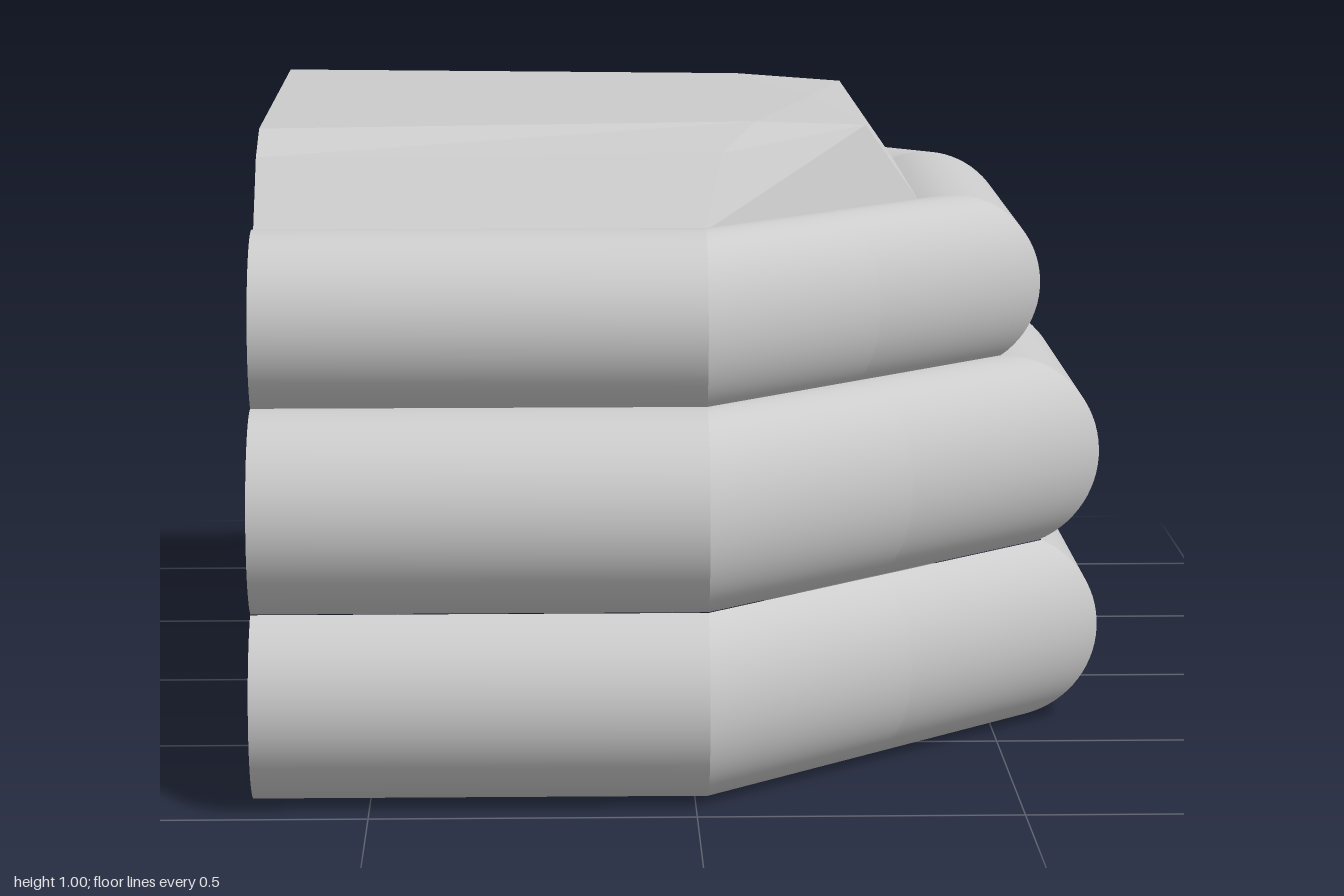
import * as THREE from 'three';

const material = new THREE.MeshStandardMaterial({ color: 0xcccccc });
const BACK = -0.68, CORNER_X = 0.02, CORNER_Z = 0.32, STEPS = 32;

function addMesh(parent, geometry, name) {
  const mesh = new THREE.Mesh(geometry, material);
  mesh.name = name;
  parent.add(mesh);
  return mesh;
}

// Arc in a vertical plane; 0 degrees points along (dx, dz), 90 degrees is up.
// A foot (in radii) squares off the inner bottom quarter out to that distance.
function arcPoints([start, end], x, y, z, dx, dz, r, foot) {
  const points = [];
  for (let i = 0; i <= STEPS; i++) {
    const degrees = start + ((end - start) * i) / STEPS;
    const a = THREE.MathUtils.degToRad(degrees);
    let c = Math.cos(a), s = Math.sin(a);
    if (foot && degrees > 180 && degrees < 270) {
      const t = (degrees - 180) / 45;
      c = t < 1 ? -1 + (1 - foot) * t : -foot * (2 - t);
      s = t < 1 ? -0.95 * t : -0.95 - 0.05 * (t - 1);
    }
    points.push(x + dx * c * r, y + s * r, z + dz * c * r);
  }
  return points;
}

// Smooth skin between two arcs
function skin(from, to) {
  const index = [], n = STEPS + 1;
  for (let i = 0; i < STEPS; i++) {
    index.push(i, n + i, i + 1, i + 1, n + i, n + i + 1);
  }
  const geometry = new THREE.BufferGeometry();
  geometry.setAttribute('position', new THREE.Float32BufferAttribute([...from, ...to], 3));
  geometry.setIndex(index);
  geometry.computeVertexNormals();
  return geometry;
}

// Horseshoe tube: two straight arms, two slanted corners and a cross piece.
// Only the given arcs are skinned, so neighbouring tubes merge into one wall.
function horseshoe(name, y, r, outerX, outerZ, arcs, armFoot = 0, crossFoot = 0) {
  const group = new THREE.Group();
  group.name = name;
  const x = outerX - r, z = outerZ - r;
  for (const arc of arcs) {
    const ring = (px, pz, dx, dz, foot) => arcPoints(arc, px, y, pz, dx, dz, r, foot);
    // round section halfway along a slanted corner
    const middle = (side) => {
      const across = ring(x, side * CORNER_Z, 1, 0, 0);
      return ring(CORNER_X, side * z, 0, side, 0).map((v, i) => (v + across[i]) / 2);
    };
    const rings = [
      ring(BACK, z, 0, 1, 0),
      ring(CORNER_X, z, 0, 1, armFoot),
      middle(1),
      ring(x, CORNER_Z, 1, 0, crossFoot),
      ring(x, -CORNER_Z, 1, 0, crossFoot),
      middle(-1),
      ring(CORNER_X, -z, 0, -1, armFoot),
      ring(BACK, -z, 0, -1, 0),
    ];
    const names = ['leftArm', 'leftCorner', 'leftCorner', 'crossPiece', 'rightCorner', 'rightCorner', 'rightArm'];
    names.forEach((part, i) => addMesh(group, skin(rings[i], rings[i + 1]), part));
  }
  for (const side of [1, -1]) {
    const cap = addMesh(group, new THREE.CircleGeometry(r, 40), 'endCap');
    cap.position.set(BACK, y, side * z);
    cap.rotation.y = -Math.PI / 2;
  }
  return group;
}

// Roof slab: sloped rim that meets the upper tube, flat top and hollow underside
function roofGeometry() {
  const p = {
    // underside, from the tube inwards
    a0: [BACK, 0.775, 0.619], b0: [CORNER_X, 0.775, 0.619], c0: [0.299, 0.775, CORNER_Z], m0: [0.299, 0.775, 0],
    a1: [BACK, 0.815, 0.4], b1: [0.02, 0.815, 0.42], c1: [0.2, 0.815, 0.25], m1: [0.2, 0.815, 0],
    a2: [BACK, 0.87, 0.22], b2: [0.06, 0.87, 0.24], m2: [0.13, 0.87, 0], n2: [BACK, 0.87, 0],
    // rim and top
    a: [BACK, 0.859, 0.701], b: [CORNER_X, 0.859, 0.701], c: [0.381, 0.859, CORNER_Z], m: [0.381, 0.859, 0],
    low: [BACK, 0.965, 0.6], ridgeA: [0.05, 0.97, 0.6], ridgeB: [0.29, 0.99, 0.37],
    high: [BACK, 1, 0.5], peak: [0.11, 1, 0.41], top: [0.22, 1, 0], n: [BACK, 1, 0],
  };
  const faces = [
    'a b ridgeA low', 'low ridgeA peak high', 'b c ridgeB ridgeA', 'c m top ridgeB', // rim
    'ridgeA ridgeB peak', 'peak ridgeB top', 'high peak top n',                      // top
    'a1 b1 b0 a0', 'b1 c1 c0 b0', 'c1 m1 m0 c0',                                     // underside
    'a2 b2 b1 a1', 'b2 c1 b1', 'b2 m2 m1 c1', 'n2 m2 b2 a2',
    'n n2 a2 a1 a0 a low high',                                                      // cut end
  ];
  const positions = [];
  for (const side of [1, -1]) {
    for (const face of faces) {
      const corners = face.split(' ').map((k) => [p[k][0], p[k][1], p[k][2] * side]);
      if (side < 0) corners.reverse().unshift(corners.pop()); // same fan, mirrored winding
      for (let i = 1; i < corners.length - 1; i++) {
        positions.push(...corners[0], ...corners[i], ...corners[i + 1]);
      }
    }
  }
  const geometry = new THREE.BufferGeometry();
  geometry.setAttribute('position', new THREE.Float32BufferAttribute(positions, 3));
  geometry.computeVertexNormals();
  return geometry;
}

export function createModel() {
  const model = new THREE.Group();
  model.name = 'tubeShelter';
  const lowerArcs = [[113.4, 180], [180, 225], [225, 270], [270, 426.6]];
  model.add(horseshoe('lowerTube', 0.155, 0.155, 0.68, 1, lowerArcs, 1.13, 1.45));
  model.add(horseshoe('middleTube', 0.445, 0.16, 0.68, 1, [[122.5, 247.4], [292.6, 451.3]]));
  model.add(horseshoe('upperTube', 0.725, 0.145, 0.58, 0.9, [[160, 269.7], [304.1, 472]]));
  addMesh(model, roofGeometry(), 'roof');
  return model;
}
